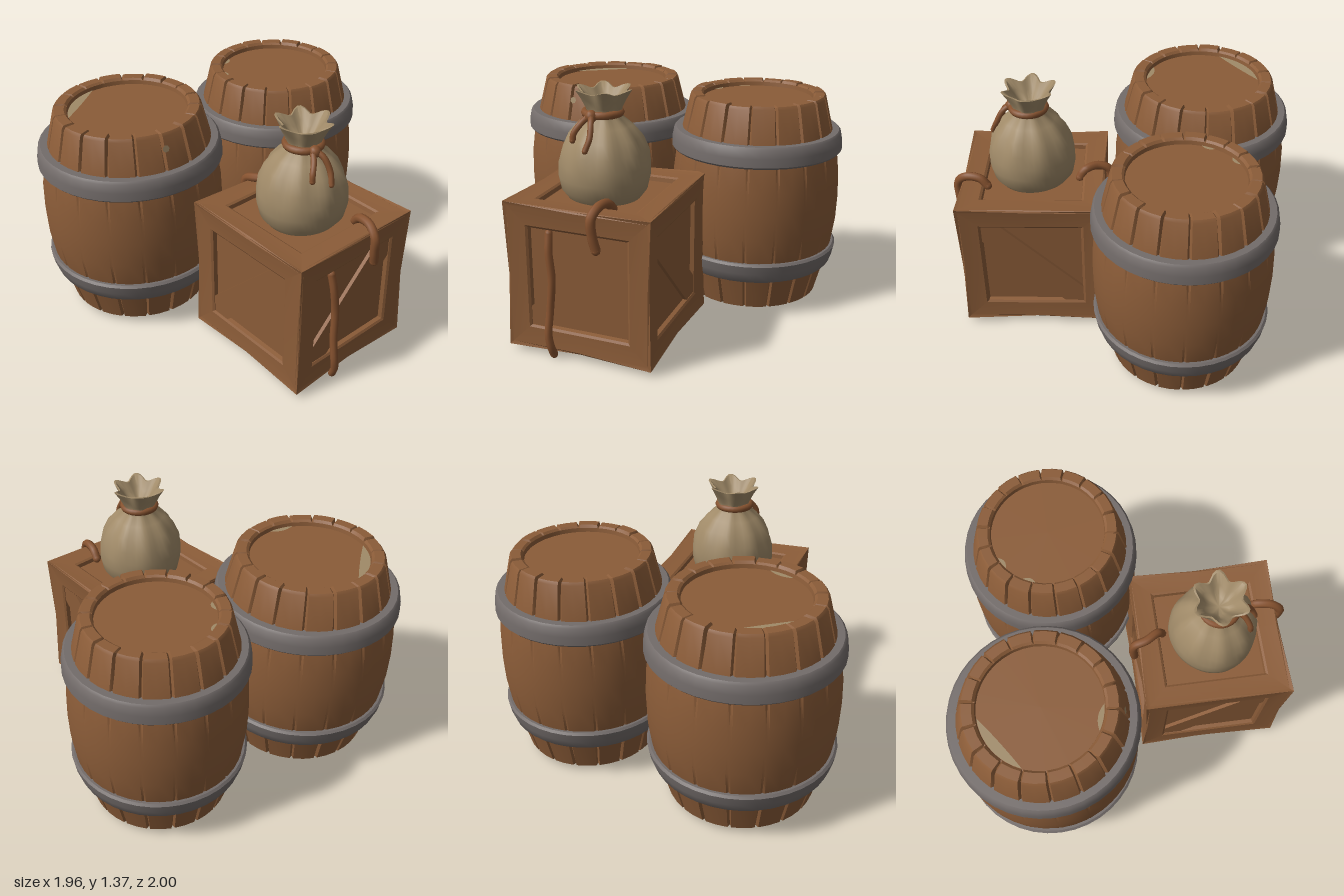
import * as THREE from 'three';
import { toCreasedNormals } from 'three/addons/utils/BufferGeometryUtils.js';

const mat = (name, color, side = THREE.FrontSide) => {
  const m = new THREE.MeshStandardMaterial({ color, side });
  m.name = name;
  return m;
};
const V = (x, y, z) => new THREE.Vector3(x, y, z);

export function createModel() {
  const wood = mat('brown wood', 0x8b5c38);
  const iron = mat('grey iron', 0x736c6a);
  const cloth = mat('tan cloth', 0xa08a68);
  const ropeMat = mat('rope', 0x86522f);
  const root = new THREE.Group();
  root.name = 'barrelsAndCrate';

  const add = (parent, name, geo, material) => {
    const m = new THREE.Mesh(geo, material);
    m.name = name;
    parent.add(m);
    return m;
  };

  // Lathe whose vertices are moved by rule(vertex, column, row)
  const lathe = (profile, segments, crease, rule) => {
    const geo = new THREE.LatheGeometry(profile.map(p => new THREE.Vector2(...p)), segments);
    const pos = geo.attributes.position;
    const v = new THREE.Vector3();
    for (let i = 0; rule && i < pos.count; i++) {
      v.fromBufferAttribute(pos, i);
      rule(v, Math.floor(i / profile.length) % segments, i % profile.length);
      pos.setXYZ(i, v.x, v.y, v.z);
    }
    return toCreasedNormals(geo, crease);
  };

  // ---- Barrels ----
  const STAVES = 18;
  const bodyProfile = [
    [0, 0.03], [0.385, 0.03], [0.405, 0.035], [0.455, 0.22], [0.488, 0.34], [0.508, 0.48],
    [0.513, 0.62], [0.508, 0.76], [0.49, 0.9], [0.457, 1.02], [0.41, 1.205], [0.398, 1.22],
    [0.345, 1.22], [0.332, 1.208], [0.328, 1.185], [0, 1.185],
  ];
  const bodyGeo = lathe(bodyProfile, STAVES * 4, 0.45, (v, col, row) => {
    const [r, y] = bodyProfile[row];
    const stave = Math.floor(col / 4), part = col % 4;
    const angle = (stave + [0, 0.07, 0.5, 0.93][part]) / STAVES * Math.PI * 2;
    // grooves between staves, deepest at both ends of the barrel
    const ends = Math.min(1, Math.abs(y - 0.62) / 0.5) ** 2;
    let radius = r;
    if (part === 0 && row > 0 && row < 12) radius -= 0.022 * ends;
    if (row > 9 && row < 13) v.y += part === 0 ? -0.014 : 0.003 * Math.sin(stave * 2.7);
    v.x = Math.sin(angle) * radius;
    v.z = Math.cos(angle) * radius;
  });
  const hoopGeo = (y0, r0, y1, r1) => lathe([
    [0.44, y0], [r0 - 0.012, y0], [r0, y0 + 0.012], [(r0 + r1) / 2 + 0.004, (y0 + y1) / 2],
    [r1, y1 - 0.012], [r1 - 0.012, y1], [0.44, y1],
  ], 40, 0.6);
  const lowHoop = hoopGeo(0.22, 0.488, 0.34, 0.514);
  const highHoop = hoopGeo(0.9, 0.52, 1.02, 0.508);

  // Worn crescent along the edge of the lid, between two angles in degrees
  const crescent = (a0, a1, depth) => {
    const s = new THREE.Shape();
    const a = THREE.MathUtils.degToRad(a0), b = THREE.MathUtils.degToRad(a1), m = (a + b) / 2;
    s.absarc(0, 0, 0.326, a, b, false);
    s.quadraticCurveTo(Math.cos(m) * (0.326 - depth), Math.sin(m) * (0.326 - depth),
      0.326 * Math.cos(a), 0.326 * Math.sin(a));
    return new THREE.ShapeGeometry(s).rotateX(-Math.PI / 2).translate(0, 1.189, 0);
  };
  const barrel = (name, x, z, scale, patches) => {
    const g = new THREE.Group();
    g.name = name;
    add(g, 'staves', bodyGeo, wood);
    add(g, 'lowerHoop', lowHoop, iron);
    add(g, 'upperHoop', highHoop, iron);
    patches.forEach(p => add(g, 'wornPatch', crescent(...p), cloth));
    g.position.set(x, 0, z);
    g.scale.set(scale, 1, scale);
    root.add(g);
    return g;
  };
  const frontBarrel = barrel('frontBarrel', -0.465, 0.475, 1.01, [[183, 248, 0.06], [-30, -4, 0.05]]);
  barrel('backBarrel', -0.325, -0.51, 0.95, [[203, 217, 0.04], [238, 252, 0.04]]);
  const chip = add(frontBarrel, 'sideChip', new THREE.CircleGeometry(0.02, 7), cloth);
  chip.position.set(0.427, 1.14, 0.06);
  chip.rotation.set(-0.24, 1.43, 0, 'YXZ');

  // ---- Crate ----
  const crate = new THREE.Group();
  crate.name = 'crate';
  crate.position.set(0.51, 0.435, 0.06);
  crate.scale.set(1.02, 1, 1);
  root.add(crate);
  const H = 0.405, IN = 0.275, FLOOR = 0.362;
  // Square face: even columns are corners, odd ones edge middles, drawn in a little
  const faceGeo = profile => lathe(profile, 8, 0.3, (v, col, row) => {
    const mid = col % 2 === 1, a = (col + 1) * Math.PI / 4;
    const d = profile[row][0] - (mid && row === 0 ? 0.012 : 0);
    const r = d * (mid ? 1 : Math.SQRT2);
    if (mid && row === 0) v.y -= 0.012;
    v.x = Math.sin(a) * r;
    v.z = Math.cos(a) * r;
  });
  const panelGeo = faceGeo([[H, H], [0.385, 0.398], [IN + 0.012, 0.393], [IN, 0.385], [IN - 0.004, FLOOR], [0, FLOOR]]);
  const plainGeo = faceGeo([[H, H], [0.38, 0.402], [0, 0.402]]);
  // Diagonal brace, from lower left to upper right
  const w = 0.105;
  const braceShape = new THREE.Shape([
    [-IN, -IN], [-IN + w, -IN], [IN, IN - w], [IN, IN], [IN - w, IN], [-IN, -IN + w],
  ].map(p => new THREE.Vector2(...p)));
  const braceGeo = new THREE.ExtrudeGeometry(braceShape, { depth: 0.022, bevelEnabled: false })
    .translate(0, 0, FLOOR - 0.002);
  for (let i = 0; i < 4; i++) {
    const side = new THREE.Group();
    side.name = ['frontSide', 'leftSide', 'backSide', 'rightSide'][i];
    add(side, 'framedPanel', panelGeo, wood).rotation.x = Math.PI / 2;
    add(side, 'diagonalBrace', braceGeo, wood).scale.x = i === 2 ? -1 : 1;
    side.rotation.y = i * Math.PI / 2;
    crate.add(side);
  }
  add(crate, 'crateTop', panelGeo, wood);
  add(crate, 'crateBottom', plainGeo, wood).rotation.x = Math.PI;

  // ---- Sack ----
  const sackProfile = [
    [0, 0.79], [0.19, 0.79], [0.228, 0.84], [0.243, 0.91], [0.242, 0.98], [0.226, 1.05], [0.195, 1.12],
    [0.145, 1.18], [0.098, 1.22], [0.088, 1.245], [0.096, 1.275], [0.118, 1.32], [0.137, 1.362],
    [0.125, 1.362], [0.085, 1.31], [0.05, 1.27], [0, 1.26],
  ];
  const sackGeo = lathe(sackProfile, 48, 0.9, (v, col, row) => {
    const a = col / 48 * Math.PI * 2;
    // low lumps on the belly, gathers at the neck, ruffles at the mouth
    let k = 1 + 0.018 * Math.sin(a * 3 + row * 0.4);
    if (row > 4 && row < 10) k += 0.035 * Math.cos(a * 9);
    if (row > 9) k += 0.16 * Math.cos(a * 6 + 0.5) * Math.min(1, (row - 9) / 3);
    if (row > 10 && row < 15) v.y += 0.012 * Math.cos(a * 6 + 0.5);
    v.x *= k;
    v.z *= k;
  });
  const sack = add(root, 'sack', sackGeo, cloth);
  sack.position.set(0.52, 0, 0.075);

  // ---- Ropes ----
  const rope = (name, radius, points) => {
    const g = new THREE.Group();
    g.name = name;
    const pts = points.map(p => V(...p));
    add(g, 'strand', new THREE.TubeGeometry(new THREE.CatmullRomCurve3(pts), 28, radius, 8), ropeMat);
    [pts[0], pts[pts.length - 1]].forEach(p =>
      add(g, 'ropeEnd', new THREE.SphereGeometry(radius, 8, 6), ropeMat).position.copy(p));
    root.add(g);
  };
  const tie = add(root, 'neckTie', new THREE.TorusGeometry(0.092, 0.021, 8, 28), ropeMat);
  tie.rotation.x = Math.PI / 2;
  tie.position.set(0.525, 1.245, 0.08);
  const knot = add(root, 'tieKnot', new THREE.SphereGeometry(0.033, 10, 8), ropeMat);
  knot.position.set(0.625, 1.242, 0.1);
  rope('tieEndLong', 0.016, [[0.62, 1.25, 0.1], [0.67, 1.22, 0.08], [0.71, 1.15, 0.07], [0.735, 1.09, 0.085]]);
  rope('tieEndShort', 0.016, [[0.62, 1.245, 0.11], [0.66, 1.21, 0.14], [0.685, 1.16, 0.17], [0.69, 1.125, 0.175]]);
  rope('innerHandle', 0.025, [[0.25, 0.81, 0.02], [0.22, 0.855, 0.03], [0.15, 0.86, 0.07],
    [0.085, 0.83, 0.08], [0.078, 0.72, 0.08], [0.085, 0.645, 0.075]]);
  rope('outerHandle', 0.025, [[0.77, 0.82, -0.08], [0.81, 0.86, -0.07], [0.89, 0.865, -0.055],
    [0.942, 0.82, -0.04], [0.944, 0.73, -0.045], [0.935, 0.655, -0.06]]);
  rope('hangingRope', 0.021, [[0.895, 0.69, 0.22], [0.915, 0.6, 0.215], [0.92, 0.45, 0.2],
    [0.93, 0.28, 0.21], [0.95, 0.14, 0.215], [0.945, 0.07, 0.205], [0.925, 0.022, 0.2]]);
  return root;
}
